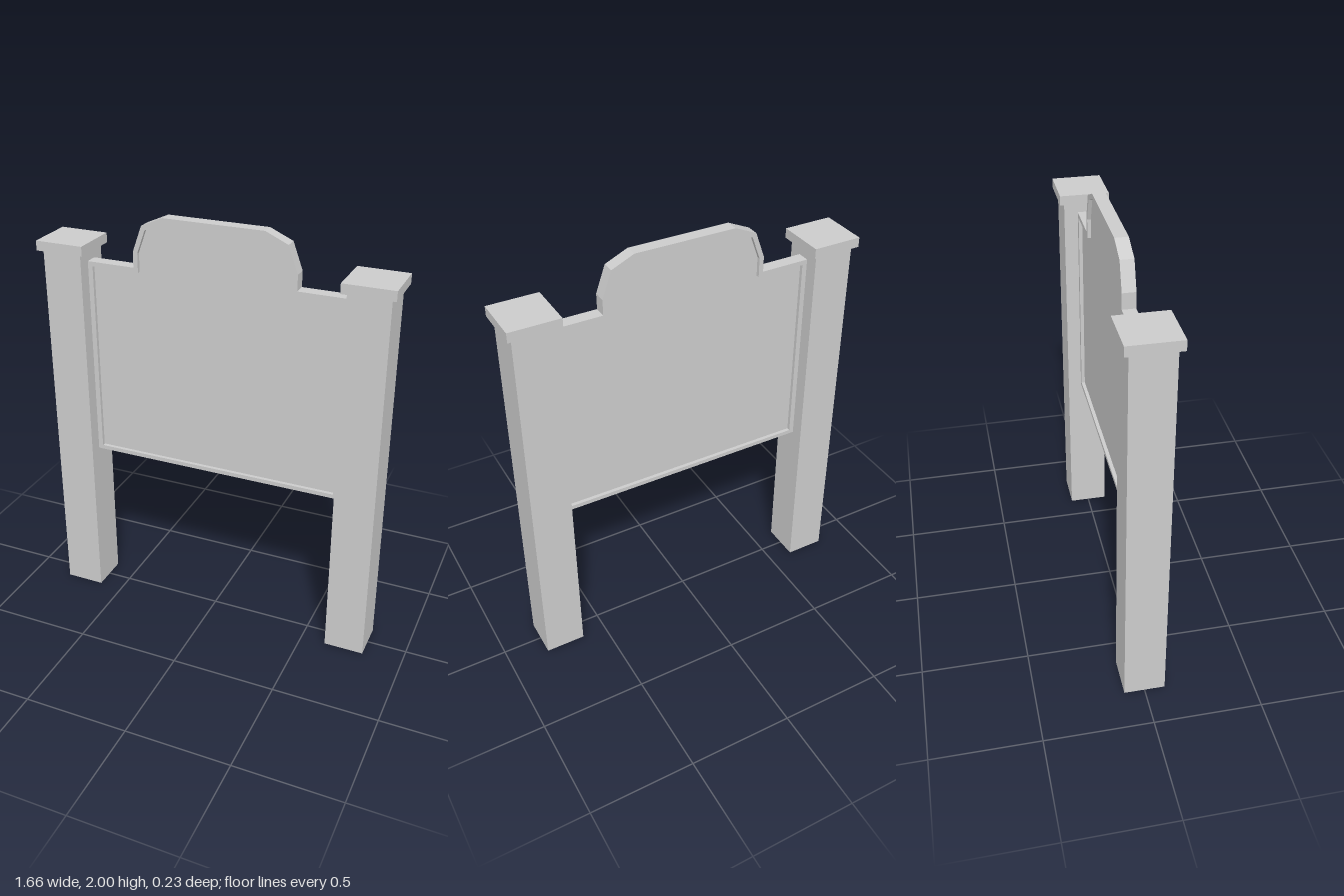
import * as THREE from 'three';

// Outline from the right half of its corners, mirrored to the left
function outline(half, Type = THREE.Shape) {
  const right = half.map(([x, y]) => new THREE.Vector2(x, y));
  const left = half.map(([x, y]) => new THREE.Vector2(-x, y)).reverse();
  return new Type([...right, ...left]);
}

function slab(shape, depth, material, name) {
  const geometry = new THREE.ExtrudeGeometry(shape, { depth, bevelEnabled: false });
  geometry.translate(0, 0, -depth / 2);
  const mesh = new THREE.Mesh(geometry, material);
  mesh.name = name;
  return mesh;
}

export function createModel() {
  const model = new THREE.Group();
  model.name = 'signBoard';
  const grey = new THREE.MeshStandardMaterial({ color: 0xcccccc, side: THREE.DoubleSide, flatShading: true });
  grey.name = 'light grey';

  const outer = [[0.62, 0.788], [0.62, 1.757], [0.387, 1.757], [0.387, 1.83], [0.342, 1.953], [0.237, 2]];
  const inner = [[0.597, 0.808], [0.597, 1.735], [0.365, 1.735], [0.365, 1.826], [0.325, 1.935], [0.23, 1.978]];

  // Raised rim around the board
  const rim = outline(outer);
  rim.holes.push(outline(inner, THREE.Path));
  model.add(slab(rim, 0.06, grey, 'frame'));

  // Recessed board, sunk on both faces
  model.add(slab(outline(inner), 0.026, grey, 'board'));

  // Hollow square posts, open at the foot, with flat caps
  for (const [side, s] of [['left', 1], ['right', -1]]) {
    const radius = 0.095 * Math.SQRT2;
    const tube = new THREE.CylinderGeometry(radius, radius, 1.808, 4, 1, true);
    tube.rotateY(Math.PI / 4);
    const post = new THREE.Mesh(tube, grey);
    post.name = side + 'Post';
    post.position.set(s * 0.715, 0.904, 0);

    const cap = new THREE.Mesh(new THREE.BoxGeometry(0.234, 0.046, 0.234), grey);
    cap.name = side + 'PostCap';
    cap.position.set(s * 0.715, 1.829, 0);
    model.add(post, cap);
  }
  return model;
}
